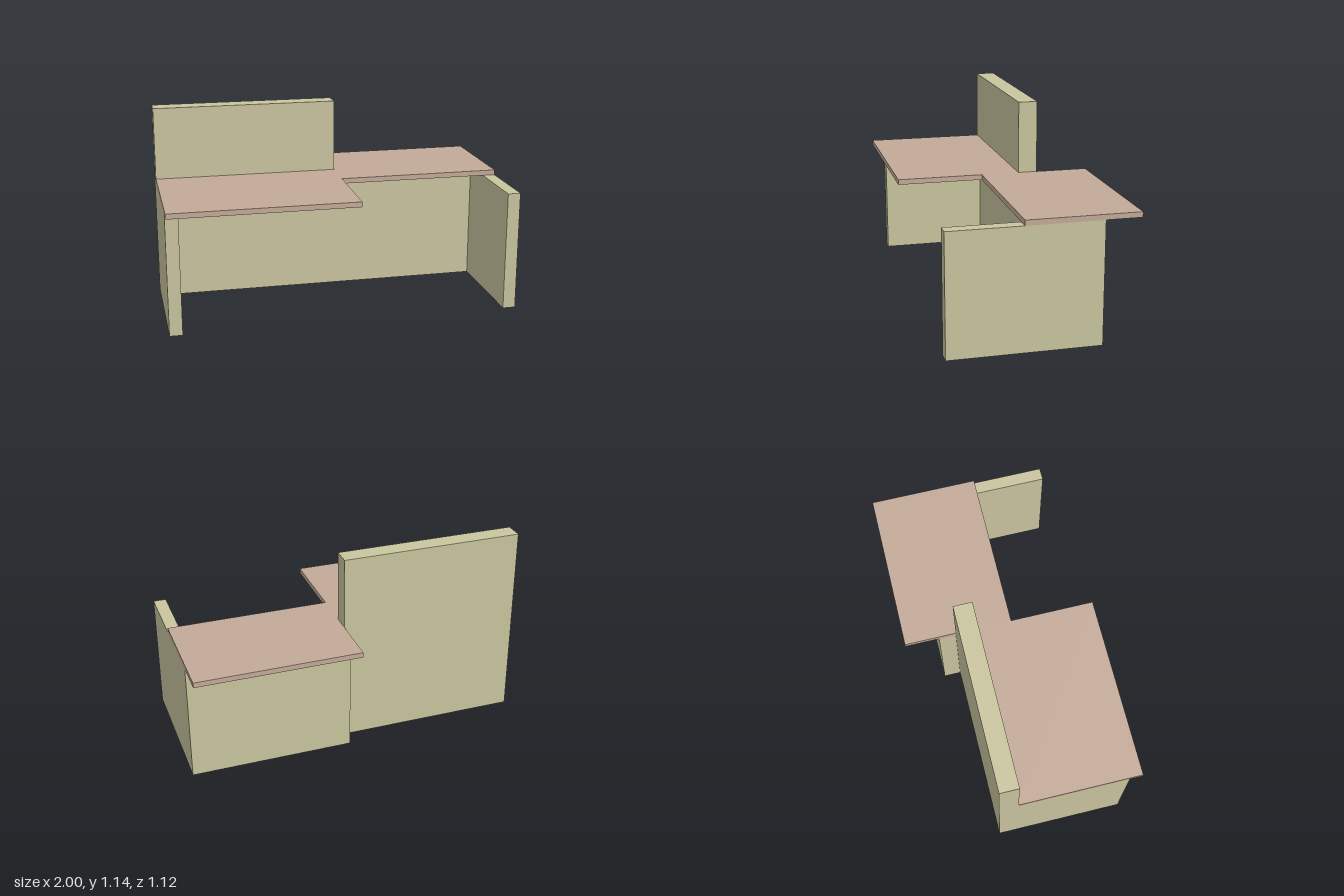
import * as THREE from 'three';

export function createModel() {
  const group = new THREE.Group();
  const panel = new THREE.MeshStandardMaterial({ color: 0xc9c59f });
  panel.name = 'beigePanel';
  const wood = new THREE.MeshStandardMaterial({ color: 0xc3aa98 });
  wood.name = 'woodTop';

  const TOP = 0.72, UNDER = 0.69; // upper and lower faces of the desk top
  const STEP = 0.06;              // x where the plan is staggered
  const INNER = -0.15;            // front face of the back wall
  const FRONT = 0.485;            // front edge of the legs

  // Box standing on the floor, given by its extents
  function slab(name, x0, x1, z0, z1, height) {
    const geo = new THREE.BoxGeometry(x1 - x0, height, z1 - z0);
    geo.translate((x0 + x1) / 2, height / 2, (z0 + z1) / 2);
    const mesh = new THREE.Mesh(geo, panel);
    mesh.name = name;
    group.add(mesh);
  }

  // Tall privacy panel and the thicker low wall beside it
  slab('tallBackPanel', -1, STEP, -0.26, INNER, 1.137);
  slab('lowBackWall', STEP, 1, -0.36, INNER, UNDER);

  // Side panels
  slab('rightLeg', -1, -0.927, INNER, FRONT, UNDER);
  slab('leftLeg', 0.927, 1, INNER, FRONT, UNDER);

  // Staggered desk top: outline in x and z, extruded downwards
  const outline = new THREE.Shape([
    [-1, INNER], [STEP, INNER], [STEP, -0.56], [1, -0.56],
    [1, 0.07], [STEP, 0.07], [STEP, 0.56], [-1, 0.56],
  ].map(([x, z]) => new THREE.Vector2(x, z)));
  const topGeo = new THREE.ExtrudeGeometry(outline, { depth: TOP - UNDER, bevelEnabled: false });
  topGeo.rotateX(Math.PI / 2);
  topGeo.translate(0, TOP, 0);
  const deskTop = new THREE.Mesh(topGeo, wood);
  deskTop.name = 'deskTop';
  group.add(deskTop);

  return group;
}
